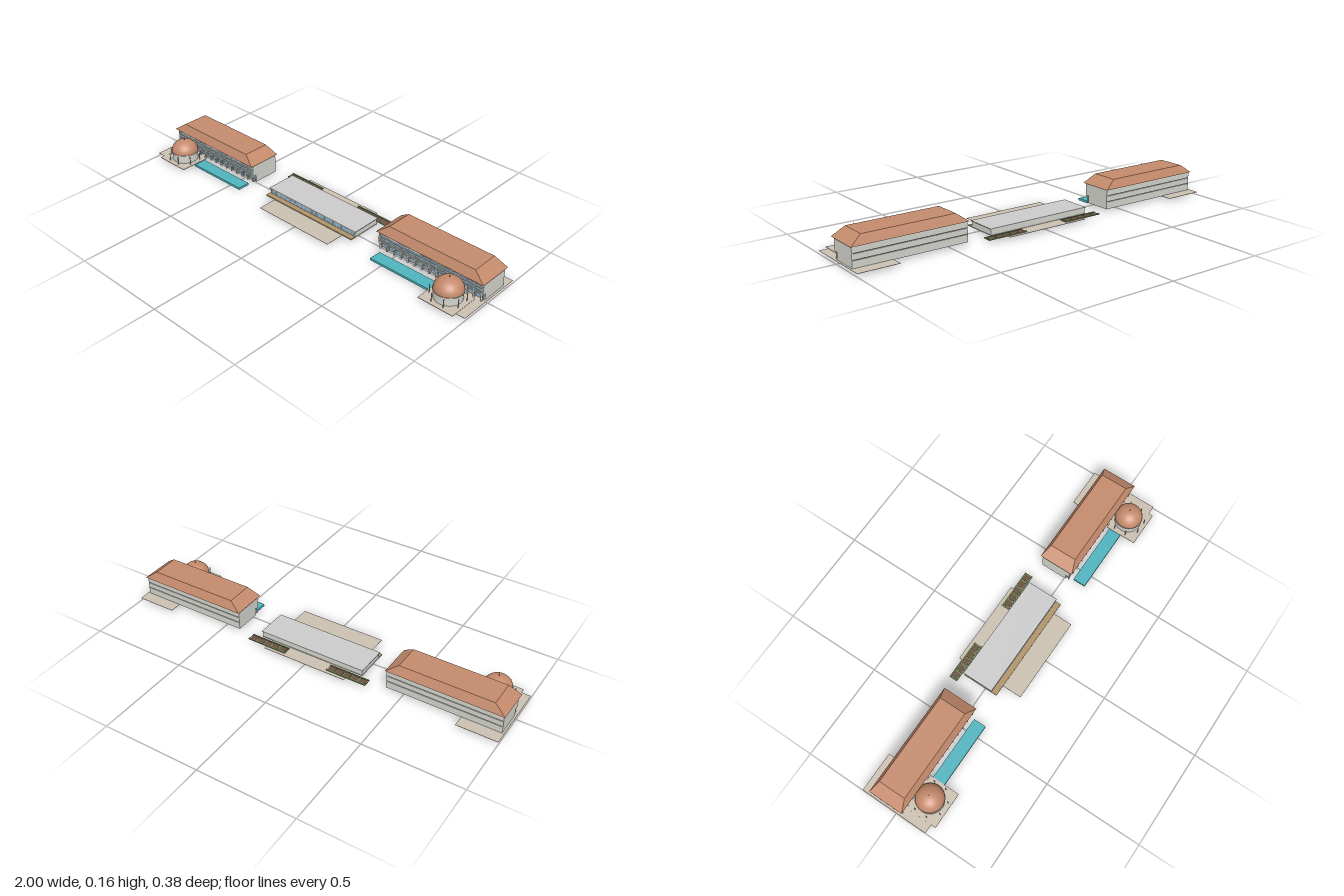
import * as THREE from 'three';

const mat = (color) => new THREE.MeshStandardMaterial({ color, side: THREE.DoubleSide });
const M = {
  tile: mat(0xc48a6c), wall: mat(0xd4d4ce), glass: mat(0x8fb0c4), dark: mat(0x5c5f62),
  water: mat(0x4fb3bd), paving: mat(0xcac0b0), slab: mat(0xbcbcbc), wood: mat(0xb09468),
  hedge: mat(0x6f8658), soil: mat(0x6b5140),
};

function add(parent, name, geometry, material, x = 0, y = 0, z = 0) {
  const mesh = new THREE.Mesh(geometry, material);
  mesh.name = name;
  mesh.position.set(x, y, z);
  parent.add(mesh);
  return mesh;
}

// Box given by its limits along each axis
function box(parent, name, material, x0, x1, y0, y1, z0, z1) {
  const g = new THREE.BoxGeometry(Math.abs(x1 - x0), y1 - y0, z1 - z0);
  return add(parent, name, g, material, (x0 + x1) / 2, (y0 + y1) / 2, (z0 + z1) / 2);
}

// Hipped roof with a flat top: a box with its upper corners drawn inward
function hippedRoof(w, h, d, topW, topD) {
  const g = new THREE.BoxGeometry(w, h, d);
  const p = g.attributes.position;
  for (let i = 0; i < p.count; i++) {
    if (p.getY(i) > 0) p.setXYZ(i, Math.sign(p.getX(i)) * topW / 2, h / 2, Math.sign(p.getZ(i)) * topD / 2);
  }
  g.computeVertexNormals();
  return g;
}

function column(parent, x, z, y0, y1, r) {
  add(parent, 'column', new THREE.CylinderGeometry(r, r, y1 - y0, 10), M.wall, x, (y0 + y1) / 2, z);
}

// Long building, s = side of the site
function createWing(s) {
  const wing = new THREE.Group();
  wing.name = s > 0 ? 'leftWing' : 'rightWing';
  const b = (name, m, x0, x1, ...r) => box(wing, name, m, s * x0, s * x1, ...r);
  const inner = 0.414, outer = 0.99, back = -0.129;

  // End walls: upper storeys overhang the arcade
  for (const x of [inner, outer - 0.004]) {
    b('lowerEndWall', M.wall, x, x + 0.004, 0.014, 0.055, back, 0.008);
    b('upperEndWall', M.wall, x, x + 0.004, 0.055, 0.114, back, 0.028);
  }
  // Rear wall bands with recessed ribbon windows
  for (const [y0, y1] of [[0.014, 0.05], [0.055, 0.08], [0.085, 0.114]])
    b('rearWallBand', M.wall, inner, outer, y0, y1, back, back + 0.006);
  for (const y of [0.05, 0.08]) b('ribbonWindow', M.dark, inner + 0.004, outer - 0.004, y, y + 0.005, back + 0.004, back + 0.006);

  // Floors
  for (const y of [0.053, 0.081, 0.111])
    b('floorSlab', M.wall, inner, outer, y, y + 0.004, back + 0.006, 0.029);

  // Front glazing and mullions
  b('lowerGlazing', M.glass, inner + 0.004, outer - 0.004, 0.016, 0.053, 0.005, 0.008);
  b('middleGlazing', M.glass, inner + 0.004, outer - 0.004, 0.057, 0.081, 0.021, 0.024);
  b('upperGlazing', M.glass, inner + 0.004, outer - 0.004, 0.085, 0.111, 0.021, 0.024);
  b('sillBand', M.wall, inner, outer, 0.096, 0.1, 0.022, 0.028);
  b('balconyRail', M.wall, inner, outer, 0.066, 0.068, 0.024, 0.028);
  const n = 15;
  for (let i = 0; i < n; i++) {
    const x = inner + 0.008 + (outer - inner - 0.016) * i / (n - 1);
    column(wing, s * x, 0.023, 0.016, 0.053, 0.0045);
    column(wing, s * x, 0.012, 0.016, 0.053, 0.003);
    b('capital', M.wall, x - 0.007, x + 0.007, 0.047, 0.053, 0.017, 0.029);
    b('mullion', M.wall, x - 0.002, x + 0.002, 0.057, 0.111, 0.023, 0.027);
    if (i % 3 < 2) b('topWindow', M.dark, x + 0.006, x + 0.024, 0.102, 0.109, 0.023, 0.026);
  }

  // Roof
  add(wing, 'hippedRoof', hippedRoof(0.588, 0.043, 0.181, 0.47, 0.139), M.tile, s * 0.703, 0.1355, -0.0475);

  // Paving and reflecting pool
  b('plaza', M.paving, 0.795, 1, 0.0145, 0.016, -0.19, 0.166);
  b('frontPlaza', M.paving, 0.77, 0.955, 0.0147, 0.0175, 0.03, 0.19);
  b('pool', M.water, 0.435, 0.773, 0.001, 0.012, 0.044, 0.109);
  wing.add(createRotunda(s * 0.862, 0.097));
  return wing;
}

// Round hall with a dome and a ring of columns
function createRotunda(x, z) {
  const hall = new THREE.Group();
  hall.name = 'rotunda';
  hall.position.set(x, 0, z);
  add(hall, 'drum', new THREE.CylinderGeometry(0.067, 0.067, 0.046, 24), M.wall, 0, 0.039, 0);
  add(hall, 'cornice', new THREE.CylinderGeometry(0.071, 0.071, 0.003, 24), M.wall, 0, 0.0605, 0);
  const dome = add(hall, 'dome', new THREE.SphereGeometry(0.069, 24, 10, 0, Math.PI * 2, 0, Math.PI / 2), M.tile, 0, 0.062, 0);
  dome.scale.y = 0.86;
  add(hall, 'finial', new THREE.CylinderGeometry(0.0006, 0.001, 0.016, 6), M.dark, 0, 0.128, 0);
  for (let i = 0; i < 8; i++) {
    const a = (i + 0.5) * Math.PI / 4;
    column(hall, Math.sin(a) * 0.083, Math.cos(a) * 0.083, 0.016, 0.061, 0.0022);
  }
  return hall;
}

// Low hall at the centre with terrace and basin
function createPavilion() {
  const p = new THREE.Group();
  p.name = 'pavilion';
  const b = (...a) => box(p, ...a);
  b('terrace', M.paving, -0.224, 0.224, 0.0135, 0.015, -0.19, 0.166);
  b('floor', M.slab, -0.282, 0.282, 0.014, 0.017, -0.12, 0.066);
  b('deck', M.wood, -0.282, 0.282, 0.017, 0.02, 0.038, 0.066);
  b('frontGlazing', M.glass, -0.278, 0.278, 0.017, 0.044, 0.032, 0.036);
  b('rearWall', M.wall, -0.28, 0.28, 0.017, 0.044, -0.118, -0.114);
  for (const s of [-1, 1]) b('endWall', M.wall, s * 0.28, s * 0.276, 0.017, 0.044, -0.118, 0.036);
  b('flatRoof', M.slab, -0.284, 0.284, 0.044, 0.048, -0.122, 0.04);
  for (let i = 0; i <= 20; i++) {
    const x = -0.274 + 0.0274 * i;
    b('mullion', M.wall, x - 0.0015, x + 0.0015, 0.017, 0.044, 0.035, 0.038);
  }
  b('basin', M.water, -0.074, 0.074, 0.004, 0.0135, -0.1, 0.145);
  return p;
}

// Planting beds behind the pavilion
function createBed(s) {
  const bed = new THREE.Group();
  bed.name = s > 0 ? 'leftPlantingBed' : 'rightPlantingBed';
  const b = (name, m, x0, x1, ...r) => box(bed, name, m, s * x0, s * x1, ...r);
  b('bedBase', M.hedge, 0.117, 0.328, 0.0145, 0.0175, -0.174, -0.132);
  for (const z of [-0.174, -0.138]) b('hedgeRow', M.hedge, 0.117, 0.328, 0.0175, 0.02, z, z + 0.006);
  for (let i = 0; i < 5; i++) {
    const x = 0.121 + 0.041 * i;
    b('soilPanel', M.soil, x + 0.003, x + 0.037, 0.0175, 0.0187, -0.167, -0.139);
  }
  return bed;
}

export function createModel() {
  const site = new THREE.Group();
  site.name = 'campus';
  for (const s of [-1, 1]) site.add(createWing(s), createBed(s));
  site.add(createPavilion());
  return site;
}
